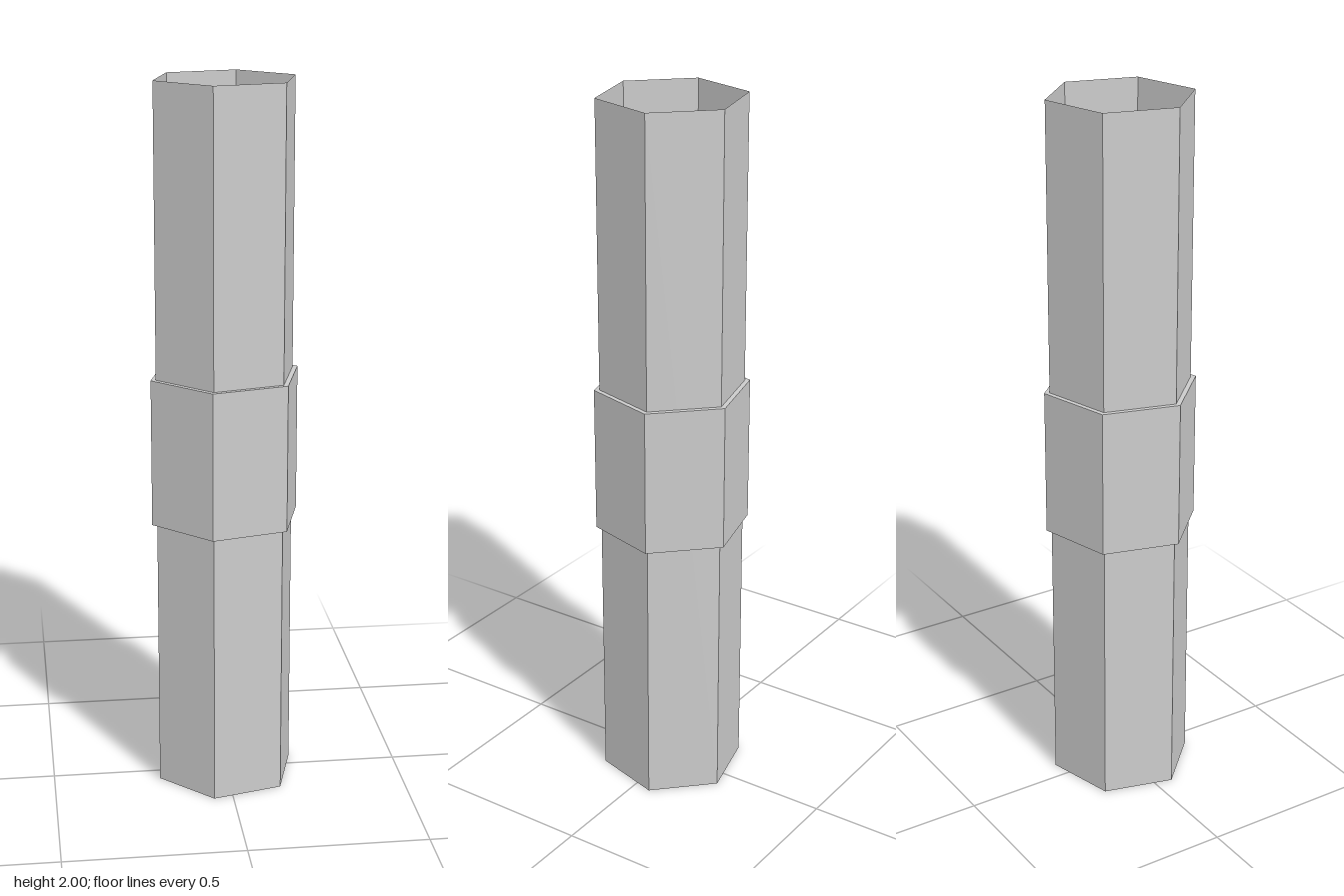
import * as THREE from 'three';

const TUBE_RADIUS = 0.2025;
const COLLAR_RADIUS = 0.2175;
const TURN = THREE.MathUtils.degToRad(44.5);

// Hexagonal shell swept from a [radius, height] profile.
function hexShell(name, profile) {
  const points = profile.map(([r, y]) => new THREE.Vector2(r, y));
  const geometry = new THREE.LatheGeometry(points, 6, TURN);
  const material = new THREE.MeshStandardMaterial({
    color: 0xcccccc, flatShading: true, side: THREE.DoubleSide,
  });
  const mesh = new THREE.Mesh(geometry, material);
  mesh.name = name;
  return mesh;
}

export function createModel() {
  const group = new THREE.Group();
  group.name = 'hexagonalPipe';

  // Thin tube, open at both ends
  group.add(hexShell('tube', [[TUBE_RADIUS, 0], [TUBE_RADIUS, 2]]));

  // Collar with ledges that meet the tube
  group.add(hexShell('collar', [
    [TUBE_RADIUS, 0.78], [COLLAR_RADIUS, 0.78],
    [COLLAR_RADIUS, 1.195], [TUBE_RADIUS, 1.195],
  ]));

  return group;
}
